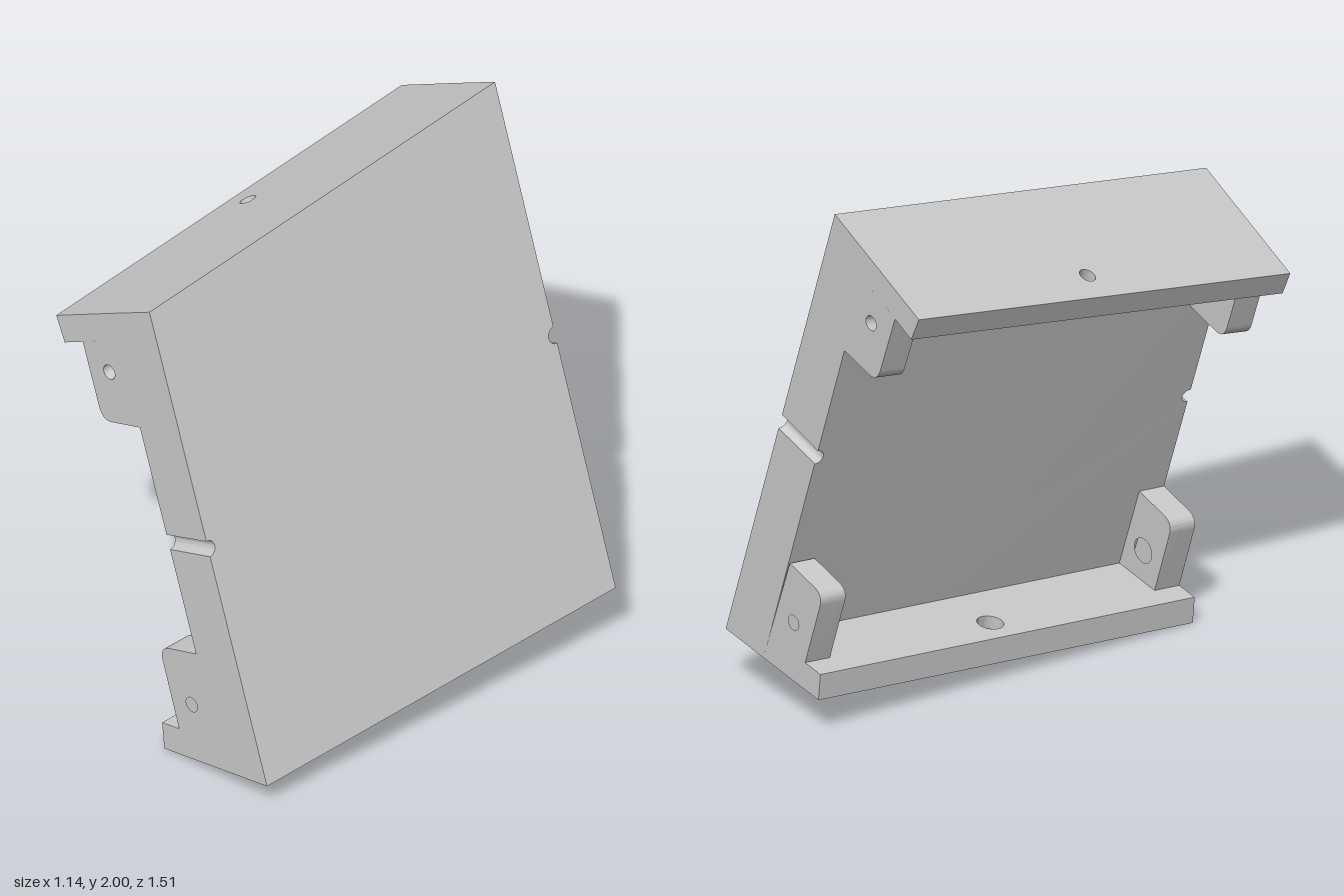
import * as THREE from 'three';
import { toCreasedNormals } from 'three/addons/utils/BufferGeometryUtils.js';

const H = 0.755;                      // half length along z
const SHIFT_TOP = [0.13, 0.265];      // drift of the section from front end to back end
const SHIFT_BOTTOM = [0.145, 0.143];
const mat = new THREE.MeshStandardMaterial({ color: 0xcccccc });
const lerp = THREE.MathUtils.lerp;

// Section corners at the front end, as [x, y]
const S = {
  outerTop: [-0.13, 1.735], outerBottom: [0.425, 0.08],
  plateTop: [-0.309, 1.644], plateBottom: [0.227, 0.047],
  lipTop: [-0.57, 1.51], lipTopIn: [-0.53, 1.42], rootTop: [-0.277, 1.55],
  lipBottom: [-0.06, 0], lipBottomIn: [-0.07, 0.1], rootBottom: [0.195, 0.145],
};

// Moves a front-end point to its place at z; k is 0 at the bottom, 1 at the top
function place(x, y, z, k) {
  const f = (H - z) / (2 * H);
  return [x + f * lerp(SHIFT_BOTTOM[0], SHIFT_TOP[0], k), y + f * lerp(SHIFT_BOTTOM[1], SHIFT_TOP[1], k), z];
}

function finish(geo, name, rule) {
  const p = geo.attributes.position;
  for (let i = 0; i < p.count; i++) p.setXYZ(i, ...rule(p.getX(i), p.getY(i), p.getZ(i)));
  geo.deleteAttribute('normal');
  const mesh = new THREE.Mesh(toCreasedNormals(geo, 0.5), mat);
  mesh.name = name;
  return mesh;
}

// Slab: shape in (z, v), extruded over w, fitted to four section corners
function slab(name, shape, w0, w1, [a, b, c, d], height) {
  const geo = new THREE.ExtrudeGeometry(shape, { depth: w1 - w0, bevelEnabled: false, curveSegments: 16 });
  return finish(geo, name, (z, v, wRaw) => {
    const w = wRaw + w0;
    const at = (i) => lerp(lerp(a[i], b[i], v), lerp(c[i], d[i], v), w);
    return place(at(0), at(1), z, height(v));
  });
}

function hole(shape, x, y, rx, ry) {
  const path = new THREE.Path();
  path.absellipse(x, y, rx, ry, 0, Math.PI * 2, true);
  shape.holes.push(path);
  return shape;
}

// Main plate outline with a half-round notch in each end
function plateShape() {
  const r = 0.028, rv = r / 1.74, q = Math.PI / 2;
  const s = new THREE.Shape();
  s.moveTo(-H, 0).lineTo(H, 0).lineTo(H, 0.5 - rv);
  s.absellipse(H, 0.5, r, rv, -q, q, true);
  s.lineTo(H, 1).lineTo(-H, 1).lineTo(-H, 0.5 + rv);
  s.absellipse(-H, 0.5, r, rv, q, -q, true);
  s.closePath();
  return s;
}

// Lip wall outline with one screw hole at the middle
function wallShape(r) {
  const s = new THREE.Shape();
  s.moveTo(-H, 0).lineTo(H, 0).lineTo(H, 1).lineTo(-H, 1).closePath();
  return hole(s, 0, 0.66, r, r / 0.29);
}

const TABS = {
  top: { k: 1, root: S.rootTop, a: [-0.445, 1.4635], b: [-0.37, 1.245], corner: [-0.352, 1.19], c: [-0.31, 1.203], end: [-0.175, 1.245], hole: [-0.32, 1.4] },
  bottom: { k: 0, root: S.rootBottom, a: [0.01, 0.1134], b: [-0.068, 0.355], corner: [-0.082, 0.4], c: [-0.04, 0.415], end: [0.09, 0.455], hole: [0.07, 0.24] },
};

function tabShape(t, r) {
  const s = new THREE.Shape();
  s.moveTo(...t.root).lineTo(...t.a).lineTo(...t.b);
  s.quadraticCurveTo(...t.corner, ...t.c);
  s.lineTo(...t.end).closePath();
  return hole(s, ...t.hole, r, r);
}

// One layer of a tab, from z0 to z1
function tabLayer(name, t, r, z0, z1) {
  const geo = new THREE.ExtrudeGeometry(tabShape(t, r), { depth: z1 - z0, bevelEnabled: false, curveSegments: 16 });
  return finish(geo, name, (x, y, z) => place(x, y, z + z0, t.k));
}

export function createModel() {
  const model = new THREE.Group();
  model.name = 'slantedCover';
  const small = 0.027, large = 0.045;

  model.add(slab('plate', plateShape(), 0, 1,
    [S.outerBottom, S.outerTop, S.plateBottom, S.plateTop], (v) => v));

  // Lip walls: narrow hole outside, wider counterbore inside
  const top = [S.plateTop, S.lipTop, S.rootTop, S.lipTopIn];
  const bottom = [S.rootBottom, S.lipBottomIn, S.plateBottom, S.lipBottom];
  model.add(
    slab('topWallOuter', wallShape(small), 0, 0.5, top, () => 1),
    slab('topWallInner', wallShape(large), 0.5, 1, top, () => 1),
    slab('bottomWallInner', wallShape(large), 0, 0.5, bottom, () => 0),
    slab('bottomWallOuter', wallShape(small), 0.5, 1, bottom, () => 0),
  );

  // Four rounded mounting tabs, two at each end
  for (const [level, t] of Object.entries(TABS)) {
    for (const [end, side] of [['front', 1], ['back', -1]]) {
      const group = new THREE.Group();
      group.name = `${end}${level === 'top' ? 'Top' : 'Bottom'}Tab`;
      const layer = (name, r, d0, d1) => {
        const z = [side * (H - d0), side * (H - d1)];
        group.add(tabLayer(name, t, r, Math.min(...z), Math.max(...z)));
      };
      layer('tabOuter', small, 0, 0.05);
      layer('tabInner', large, 0.05, 0.1);
      model.add(group);
    }
  }
  return model;
}
